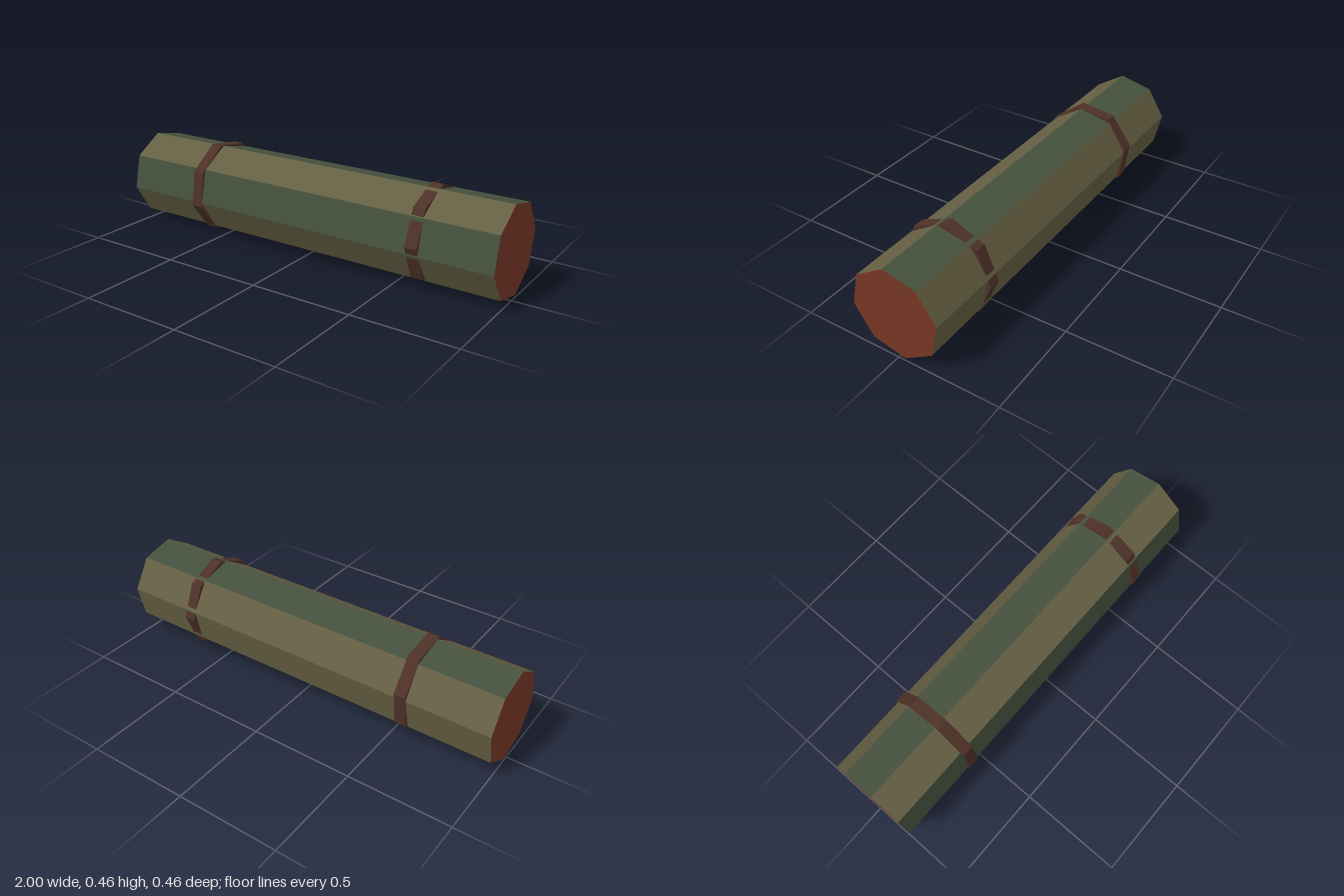
import * as THREE from 'three';

const SIDES = 8;
const AXIS_Y = 0.231;

function material(name, color) {
  const m = new THREE.MeshStandardMaterial({ color, flatShading: true });
  m.name = name;
  return m;
}

// Octagonal prism lying along x; roll = angle of its first corner from +y towards +z
function prism(radius, length, rollDegrees) {
  const start = THREE.MathUtils.degToRad(rollDegrees - 90);
  return new THREE.CylinderGeometry(radius, radius, length, SIDES, 1, false, start)
    .rotateZ(-Math.PI / 2);
}

export function createModel() {
  const olive = material('olive', 0x656043);
  const green = material('green', 0x45513d);
  const rust = material('rust', 0x773725);
  const leather = material('leather', 0x4e3127);

  const model = new THREE.Group();
  model.name = 'bedroll';

  // Roll: striped long sides, rust ends
  const rollGeometry = prism(0.22, 2, 9.7);
  const greenSides = [1, 3, 7];
  rollGeometry.clearGroups();
  for (let i = 0; i < SIDES; i++) {
    rollGeometry.addGroup(i * 6, 6, greenSides.includes(i) ? 1 : 0);
  }
  rollGeometry.addGroup(SIDES * 6, SIDES * 6, 2);
  const roll = new THREE.Mesh(rollGeometry, [olive, green, rust]);
  roll.name = 'roll';
  roll.position.y = AXIS_Y;
  model.add(roll);

  // Straps, each turned a little differently around the roll
  for (const [name, x, turn] of [['rightStrap', -0.572, 14.4], ['leftStrap', 0.628, 0]]) {
    const strap = new THREE.Mesh(prism(0.229, 0.057, turn), leather);
    strap.name = name;
    strap.position.set(x, AXIS_Y, 0);
    model.add(strap);
  }

  return model;
}
